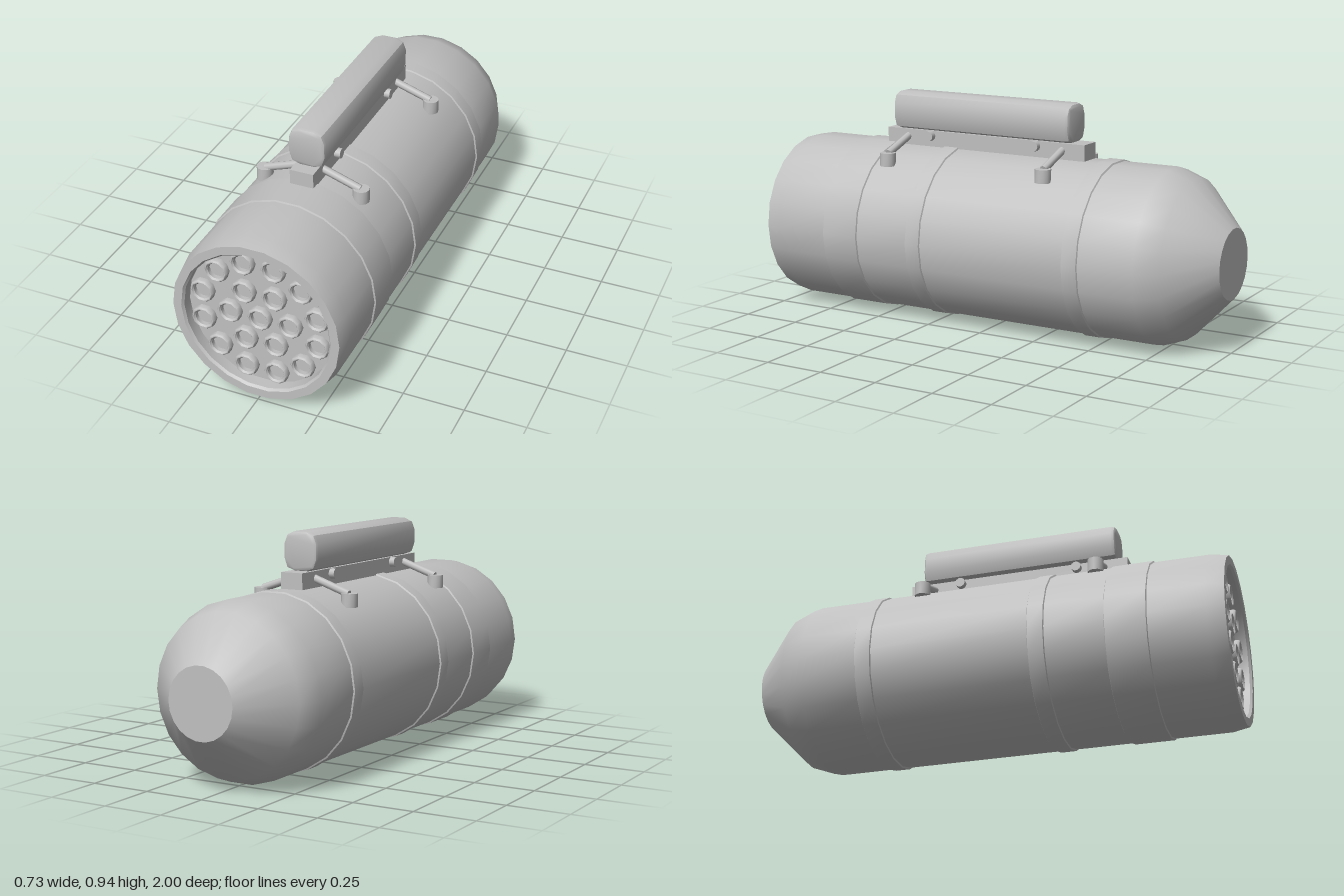
import * as THREE from 'three';
import { toCreasedNormals } from 'three/addons/utils/BufferGeometryUtils.js';

const CY = 0.36; // height of the pod axis

export function createModel() {
  const model = new THREE.Group();
  model.name = 'rocketPod';
  const grey = new THREE.MeshStandardMaterial({ color: 0xc0c0c0 });
  grey.name = 'grey';

  const add = (name, geometry, x = 0, y = 0, z = 0) => {
    const mesh = new THREE.Mesh(geometry, grey);
    mesh.name = name;
    mesh.position.set(x, y, z);
    model.add(mesh);
    return mesh;
  };

  // Turned part along z; profile pairs are [radius, z]
  const turned = (profile, sides) => {
    const pts = profile.map(([r, z]) => new THREE.Vector2(r, z));
    const g = new THREE.LatheGeometry(pts, sides, Math.PI / 2);
    g.rotateX(Math.PI / 2);
    return toCreasedNormals(g, 0.65);
  };

  // Body: tapered tail, three raised bands, front rim and recessed plate
  const R = 0.357, B = 0.363, plateZ = 0.945;
  const band = (a, b) => [[R, a], [B, a + 0.003], [B, b - 0.003], [R, b]];
  add('body', turned([
    [0, -1], [0.143, -1], [0.322, -0.83], [R, -0.735],
    ...band(-0.5, -0.43), ...band(0.22, 0.29), ...band(0.53, 0.7),
    [R, 0.93], [0.344, 1], [0.31, 1], [0.302, 0.99],
    [0.302, plateZ], [0, plateZ],
  ], 22), 0, CY, 0);

  // Launch tubes: one in the middle, rings of six and twelve
  const tube = turned([
    [0.049, 0], [0.049, 0.02], [0.044, 0.027], [0.04, 0.027],
    [0.034, 0.02], [0.034, 0.002], [0, 0.002],
  ], 10);
  for (const [count, radius, start] of [[1, 0, 0], [6, 0.125, 0], [12, 0.245, Math.PI / 12]]) {
    for (let i = 0; i < count; i++) {
      const a = start + (i / count) * Math.PI * 2;
      add('launchTube', tube, radius * Math.cos(a), CY + radius * Math.sin(a), plateZ);
    }
  }

  // Mounting rail and its cross pins
  add('mountingRail', new THREE.BoxGeometry(0.098, 0.1, 0.94), 0, 0.73, 0.1);
  const pin = new THREE.CylinderGeometry(0.021, 0.021, 0.146, 10);
  pin.rotateZ(Math.PI / 2);
  for (const z of [0.355, -0.148]) add('crossPin', pin, 0, 0.759, z);

  // Sway braces: sloping rods ending in round feet
  const foot = toCreasedNormals(new THREE.CylinderGeometry(0.033, 0.033, 0.055, 12), 0.65);
  for (const z of [0.47, -0.267]) {
    for (const side of [-1, 1]) {
      const from = new THREE.Vector3(side * 0.03, 0.755, z);
      const to = new THREE.Vector3(side * 0.2, 0.697, z);
      const dir = to.clone().sub(from);
      const rod = add('braceRod', new THREE.CylinderGeometry(0.016, 0.016, dir.length(), 8));
      rod.position.copy(from).lerp(to, 0.5);
      rod.quaternion.setFromUnitVectors(new THREE.Vector3(0, 1, 0), dir.normalize());
      add('braceFoot', foot, side * 0.204, 0.673, z);
    }
  }

  // Top fairing: soft-cornered bar with bevelled ends
  const half = [[0.028, 0.926], [0.054, 0.915], [0.065, 0.887], [0.065, 0.831], [0.054, 0.8], [0.028, 0.791]];
  const outline = [...half, ...half.map(([x, y]) => [-x, y]).reverse()].reverse();
  const shape = new THREE.Shape(outline.map(([x, y]) => new THREE.Vector2(x, y)));
  const bar = new THREE.ExtrudeGeometry(shape, {
    depth: 0.801, bevelEnabled: true, bevelSize: 0.012, bevelThickness: 0.017, bevelSegments: 2,
  });
  add('topFairing', toCreasedNormals(bar, 0.65), 0, 0, -0.293);

  return model;
}
